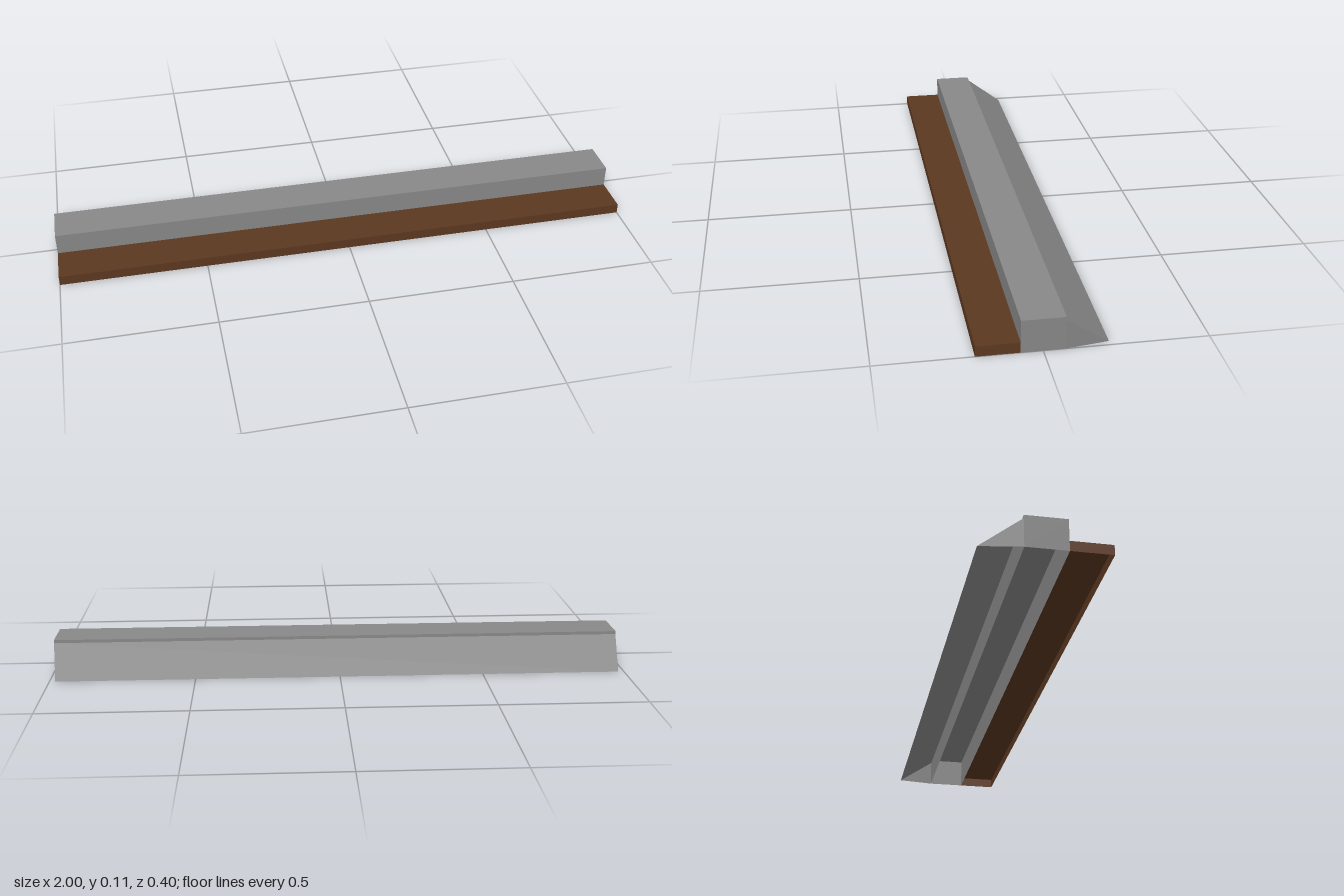
import * as THREE from 'three';

// Box without the listed faces (0 +x, 1 -x, 2 +y, 3 -y, 4 +z, 5 -z)
function openBox(w, h, d, omit) {
  const geo = new THREE.BoxGeometry(w, h, d);
  const index = Array.from(geo.index.array);
  geo.setIndex(index.filter((_, i) => !omit.includes(Math.floor(i / 6))));
  geo.clearGroups();
  return geo;
}

// Sloped face with two triangular ends that taper towards the foot
function slopeGeometry(topX, footX, topZ, footZ, height) {
  const topL = [topX, height, topZ], topR = [-topX, height, topZ];
  const baseL = [topX, 0, topZ], baseR = [-topX, 0, topZ];
  const footL = [footX, 0, footZ], footR = [-footX, 0, footZ];
  const faces = [
    [topL, footL, footR], [topL, footR, topR],
    [topL, baseL, footL], [topR, footR, baseR],
  ];
  const geo = new THREE.BufferGeometry();
  geo.setAttribute('position', new THREE.Float32BufferAttribute(faces.flat(2), 3));
  geo.computeVertexNormals();
  return geo;
}

export function createModel() {
  const model = new THREE.Group();
  model.name = 'parapet';
  const stone = new THREE.MeshStandardMaterial({ color: 0x888888, side: THREE.DoubleSide });
  stone.name = 'grey stone';
  const wood = new THREE.MeshStandardMaterial({ color: 0x5c3820, side: THREE.DoubleSide });
  wood.name = 'brown wood';

  const add = (name, geo, mat, y, z) => {
    const mesh = new THREE.Mesh(geo, mat);
    mesh.name = name;
    mesh.position.set(0, y, z);
    model.add(mesh);
  };

  const depth = 0.4 / 3, wallH = 0.107, stepH = 0.034;

  // Shells are open underneath; the step also leans open against the wall
  add('wall', openBox(2, wallH, depth, [3]), stone, wallH / 2, 0);
  add('step', openBox(2, stepH, depth, [3, 5]), wood, stepH / 2, depth);
  add('rearSlope', slopeGeometry(1, 0.98, -depth / 2, -0.2, 0.096), stone, 0, 0);

  return model;
}
